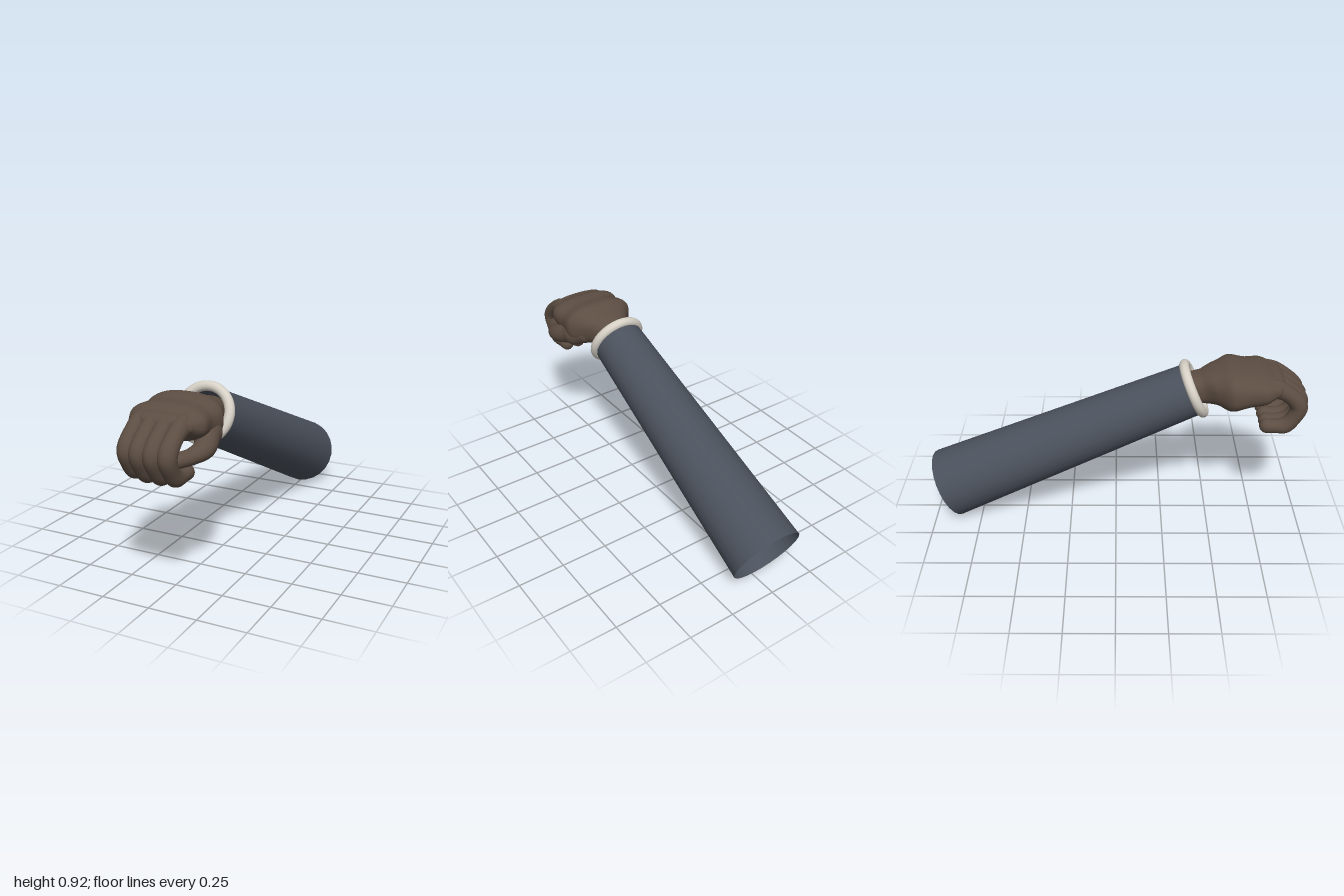
import * as THREE from 'three';

const CX = -0.016; // centre line of the arm

// Sweeps an oval section along stations [x, y, z, halfWidth, halfHeight]; both ends are rounded off.
function loft(stations, { steps = 40, sides = 28, power = 2 } = {}) {
  const path = new THREE.CatmullRomCurve3(stations.map(([x, y, z]) => new THREE.Vector3(x, y, z)));
  const size = new THREE.CatmullRomCurve3(stations.map(([, , , w, h]) => new THREE.Vector3(w, h, 0)));
  const rings = [];
  const addRing = (t, angle = 0) => {
    const tangent = path.getTangent(t), r = size.getPoint(t);
    const centre = path.getPoint(t).addScaledVector(tangent, Math.sin(angle) * Math.min(r.x, r.y));
    rings.push({ centre, tangent, r: r.multiplyScalar(Math.max(Math.cos(angle), 0.01)) });
  };
  for (let k = 6; k > 0; k--) addRing(0, -k * Math.PI / 12);
  for (let i = 0; i <= steps; i++) addRing(i / steps);
  for (let k = 1; k <= 6; k++) addRing(1, k * Math.PI / 12);

  const positions = [], index = [];
  const bulge = (v) => Math.sign(v) * Math.pow(Math.abs(v), 2 / power);
  rings.forEach(({ centre, tangent, r }, i) => {
    const side = new THREE.Vector3(1, 0, 0).addScaledVector(tangent, -tangent.x).normalize();
    const up = new THREE.Vector3().crossVectors(tangent, side);
    for (let j = 0; j < sides; j++) {
      const a = (j / sides) * Math.PI * 2;
      const p = centre.clone()
        .addScaledVector(side, bulge(Math.cos(a)) * r.x)
        .addScaledVector(up, bulge(Math.sin(a)) * r.y);
      positions.push(p.x, p.y, p.z);
      if (i === rings.length - 1) continue;
      const n = (j + 1) % sides, b = i * sides;
      index.push(b + j, b + n, b + sides + j, b + n, b + sides + n, b + sides + j);
    }
  });
  const geometry = new THREE.BufferGeometry();
  geometry.setAttribute('position', new THREE.Float32BufferAttribute(positions, 3));
  geometry.setIndex(index);
  geometry.computeVertexNormals();
  return geometry;
}

export function createModel() {
  const model = new THREE.Group();
  model.name = 'arm';
  const cloth = new THREE.MeshStandardMaterial({ name: 'slate cloth', color: 0x4b515c, side: THREE.DoubleSide });
  const trim = new THREE.MeshStandardMaterial({ name: 'cream trim', color: 0xd6d0c6 });
  const skin = new THREE.MeshStandardMaterial({ name: 'brown skin', color: 0x5c4d42 });
  const add = (parent, name, geometry, material) => {
    const mesh = new THREE.Mesh(geometry, material);
    mesh.name = name;
    parent.add(mesh);
    return mesh;
  };

  // Open tapered sleeve, with its local y running along the arm to the cuff
  const back = new THREE.Vector3(CX, 0.178, -0.922);
  const front = new THREE.Vector3(CX, 0.77, 0.395);
  const length = back.distanceTo(front);
  const forearm = new THREE.Group();
  forearm.name = 'forearm';
  forearm.position.copy(back);
  forearm.rotation.x = Math.atan2(front.z - back.z, front.y - back.y);
  model.add(forearm);
  const sleeve = add(forearm, 'sleeve', new THREE.CylinderGeometry(0.138, 0.191, length, 24, 1, true), cloth);
  sleeve.position.y = length / 2;
  const cuff = add(forearm, 'cuff', new THREE.TorusGeometry(0.135, 0.026, 16, 48), trim);
  cuff.rotation.x = Math.PI / 2;
  cuff.position.y = length + 0.01;

  const hand = new THREE.Group();
  hand.name = 'hand';
  model.add(hand);

  // Wrist and back of the hand
  add(hand, 'palm', loft([
    [CX, 0.78, 0.36, 0.085, 0.07],
    [CX, 0.79, 0.45, 0.095, 0.083],
    [CX, 0.805, 0.52, 0.145, 0.097],
    [CX, 0.81, 0.595, 0.2, 0.115],
    [CX, 0.815, 0.675, 0.19, 0.096],
    [CX, 0.825, 0.75, 0.198, 0.084],
    [CX, 0.833, 0.815, 0.165, 0.052],
  ], { steps: 60, sides: 48, power: 2.5 }), skin);

  // Four curled fingers, the outer ones a little shorter
  const fingers = [
    ['littleFinger', -0.122, 0.93], ['ringFinger', -0.052, 0.99],
    ['middleFinger', 0.02, 1], ['indexFinger', 0.092, 0.98],
  ];
  const curl = [ // y, z, halfWidth, halfHeight
    [0.84, 0.72, 0.043, 0.045], [0.832, 0.81, 0.046, 0.05], [0.795, 0.89, 0.043, 0.042],
    [0.725, 0.951, 0.045, 0.046], [0.65, 0.925, 0.042, 0.04], [0.61, 0.885, 0.043, 0.043],
    [0.604, 0.83, 0.039, 0.036], [0.605, 0.785, 0.038, 0.038],
  ];
  for (const [name, x, reach] of fingers) {
    add(hand, name, loft(curl.map(([y, z, w, h]) =>
      [x, 0.83 + (y - 0.83) * (0.5 + reach / 2), 0.72 + (z - 0.72) * reach, w, h]), { steps: 48, sides: 24 }), skin);
  }

  // Thumb reaching forward to the curled fingers
  add(hand, 'thumb', loft([
    [0.09, 0.775, 0.57, 0.06, 0.06],
    [0.135, 0.75, 0.66, 0.06, 0.06],
    [0.163, 0.718, 0.745, 0.052, 0.05],
    [0.14, 0.7, 0.82, 0.042, 0.038],
    [0.105, 0.695, 0.885, 0.038, 0.036],
  ]), skin);

  return model;
}
